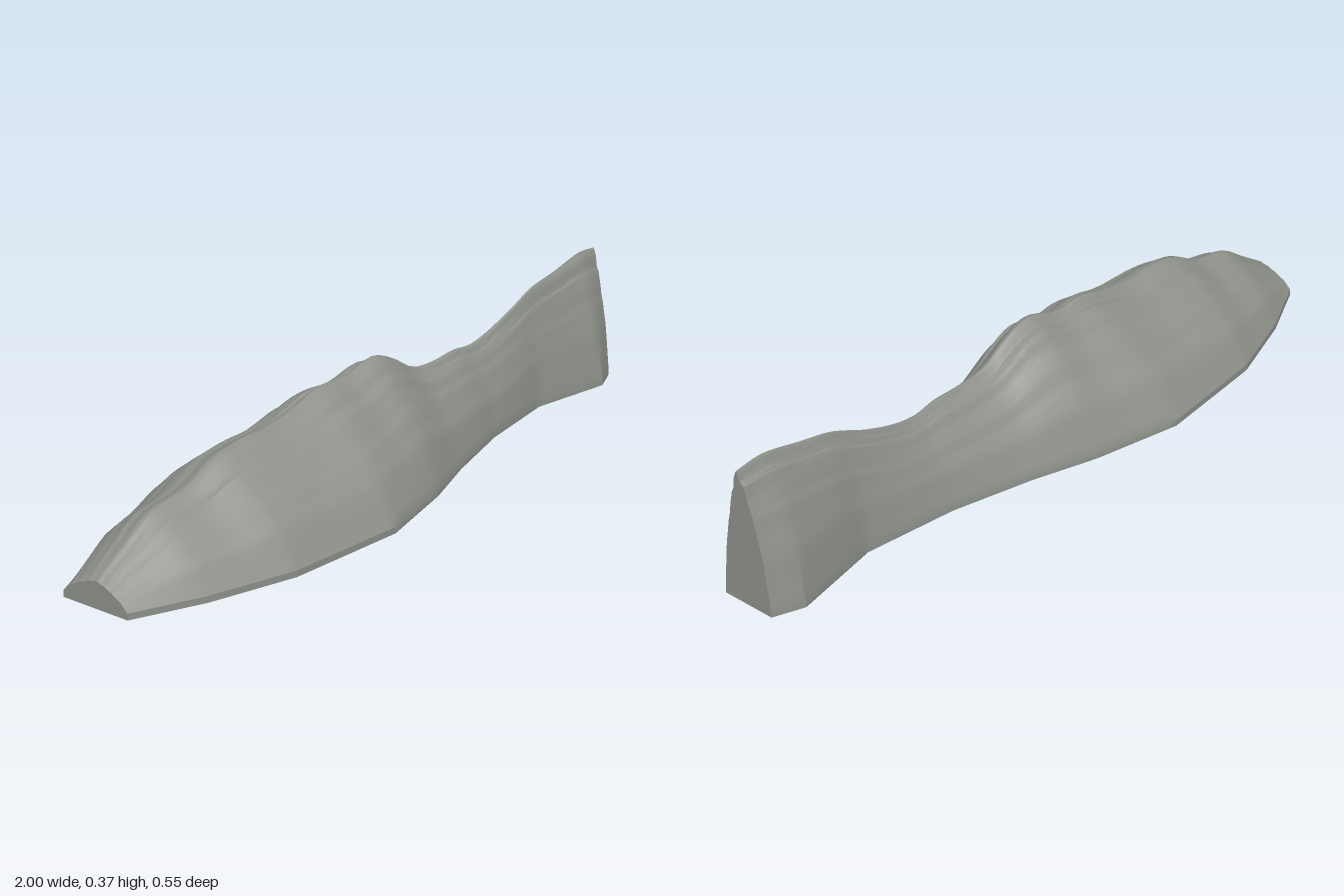
import * as THREE from 'three';
import { toCreasedNormals } from 'three/addons/utils/BufferGeometryUtils.js';

// Plan outline: [x, half width], joined by straight lines
const OUTLINE = [[-1, 0.1], [-0.82, 0.18], [-0.59, 0.25], [-0.25, 0.277], [0, 0.22],
  [0.18, 0.16], [0.41, 0.1], [0.67, 0.064], [0.92, 0.107], [1, 0.075]];
// Crest line: [x, height], rounded
const CREST = [[-1, 0.07], [-0.9, 0.13], [-0.82, 0.178], [-0.7, 0.2], [-0.6, 0.247], [-0.5, 0.262],
  [-0.4, 0.262], [-0.3, 0.278], [-0.2, 0.303], [-0.1, 0.3], [0, 0.325], [0.08, 0.298], [0.16, 0.252],
  [0.25, 0.241], [0.35, 0.245], [0.42, 0.237], [0.5, 0.25], [0.6, 0.283], [0.7, 0.325], [0.8, 0.345],
  [0.92, 0.37], [1, 0.365]];
// Slope: [share of half width, share of height], from crest to foot
const SLOPE = [[0, 1], [0.08, 0.975], [0.15, 0.93], [0.3, 0.83], [0.45, 0.715], [0.6, 0.57], [0.79, 0.38], [1, 0]];
const LIP = 0.017;

function sample(table, x, smooth) {
  let i = 0;
  while (i < table.length - 2 && x > table[i + 1][0]) i++;
  const [a, b] = [table[i], table[i + 1]];
  const u = (x - a[0]) / (b[0] - a[0]);
  if (!smooth) return a[1] + (b[1] - a[1]) * u;
  const p = table[Math.max(i - 1, 0)], n = table[Math.min(i + 2, table.length - 1)];
  const d = b[0] - a[0];
  const m0 = (b[1] - p[1]) / (b[0] - p[0]) * d, m1 = (n[1] - a[1]) / (n[0] - a[0]) * d;
  const u2 = u * u, u3 = u2 * u;
  return a[1] * (2 * u3 - 3 * u2 + 1) + m0 * (u3 - 2 * u2 + u) + b[1] * (3 * u2 - 2 * u3) + m1 * (u3 - u2);
}

// One cross-section, from the front foot over the crest to the back foot
function section(x) {
  const w = sample(OUTLINE, x), h = sample(CREST, x, true);
  const shift = 0.008 + 0.005 * Math.sin(x * 9);
  const ring = [[x, 0, w]];
  const N = 28;
  for (let j = -N; j <= N; j++) {
    const k = -j / N, t = Math.sign(k) * Math.abs(k) ** 1.3, a = Math.abs(t);
    const side = t < 0 ? 1.7 : 0;
    // Wandering rock strata, fading out at the crest and foot
    const fade = Math.min(1, a * 6) * (1 - a) ** 1.2;
    const strata = Math.sin(a * 24 + side + 1.3 * Math.sin(x * 5 + side))
      + 0.6 * Math.sin(a * 43 + 2 * side + 1.1 * Math.sin(x * 8 + 1));
    // Shallow cleft just behind the crest
    const cleft = 0.035 * Math.exp(-(((t + 0.09) / 0.04) ** 2));
    const y = LIP + (h - LIP) * (sample(SLOPE, a) + 0.02 * strata * fade - cleft);
    ring.push([x, y, t * w + shift * (1 - a) ** 2]);
  }
  ring.push([x, 0, -w]);
  return ring;
}

function meshOf(name, triangles, material) {
  const g = new THREE.BufferGeometry();
  g.setAttribute('position', new THREE.Float32BufferAttribute(triangles.flat(2), 3));
  const mesh = new THREE.Mesh(toCreasedNormals(g, 0.5), material);
  mesh.name = name;
  return mesh;
}

export function createModel() {
  const group = new THREE.Group();
  group.name = 'mountainRidge';
  const rock = new THREE.MeshStandardMaterial({ color: 0x8f928b });
  rock.name = 'greyRock';

  // Stations along the ridge, including every corner of the outline
  const xs = OUTLINE.map((p) => p[0]);
  for (let i = 1; i < 80; i++) {
    const x = -1 + i / 40;
    if (OUTLINE.every((p) => Math.abs(p[0] - x) > 0.008)) xs.push(x);
  }
  xs.sort((a, b) => a - b);
  const rings = xs.map(section);
  const last = rings[0].length - 1;

  // Slopes with the upright lip, and the flat underside
  const slopes = [], base = [];
  for (let i = 0; i < rings.length - 1; i++) {
    const [r, s] = [rings[i], rings[i + 1]];
    for (let j = 0; j < last; j++) {
      slopes.push([r[j], s[j], s[j + 1]], [r[j], s[j + 1], r[j + 1]]);
    }
    base.push([r[last], s[last], s[0]], [r[last], s[0], r[0]]);
  }
  group.add(meshOf('slopes', slopes, rock), meshOf('base', base, rock));

  // Upright cut faces at both ends
  const low = [], high = [];
  const [first, end] = [rings[0], rings[rings.length - 1]];
  for (let j = 0; j < last; j++) {
    low.push([[-1, 0, 0], first[j], first[j + 1]]);
    high.push([[1, 0, 0], end[j + 1], end[j]]);
  }
  group.add(meshOf('lowEnd', low, rock), meshOf('highEnd', high, rock));
  return group;
}
